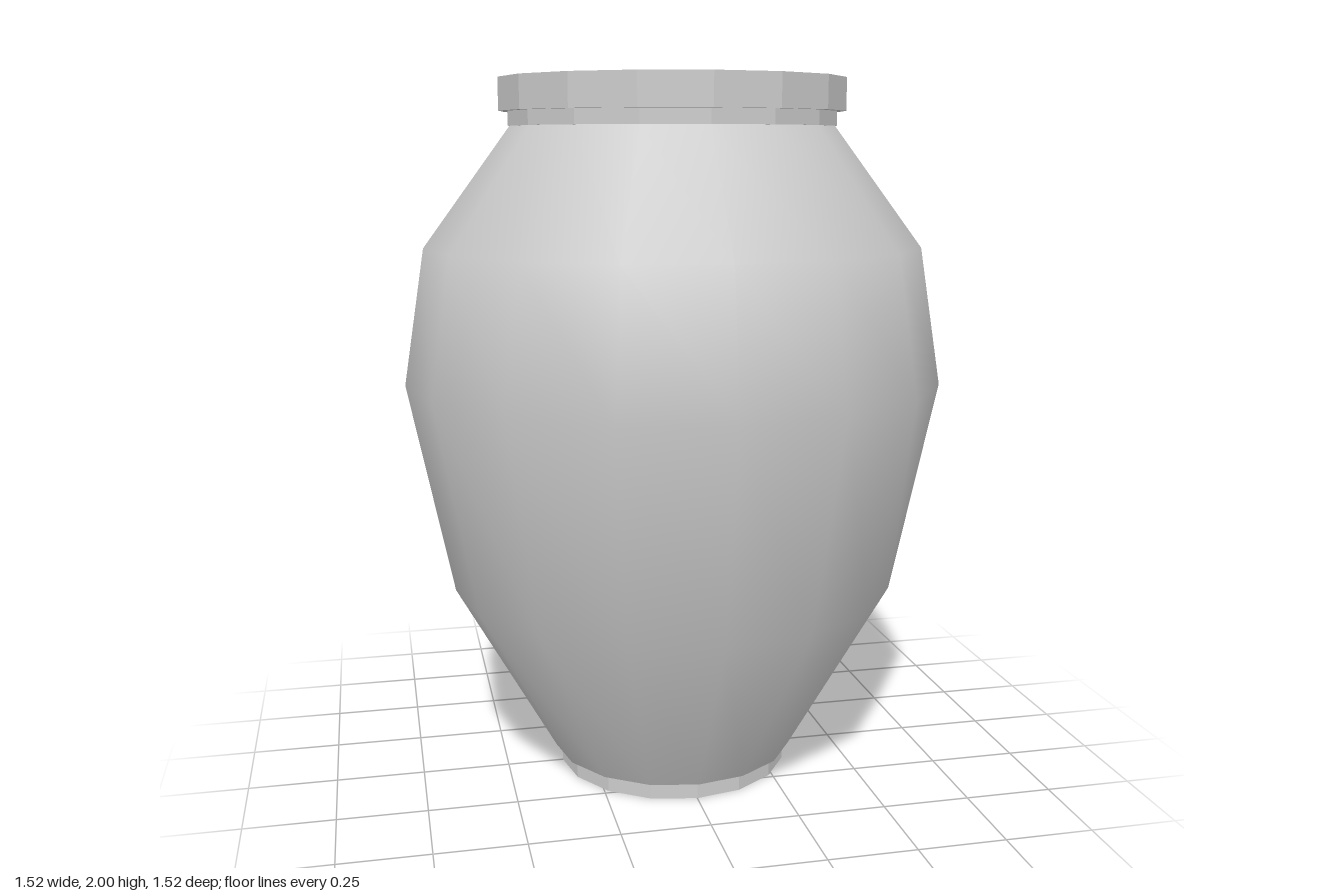
import * as THREE from 'three';

const SIDES = 16;

// Revolve a [radius, height] profile; faceted parts get one normal per face.
function turned(name, profile, material, faceted) {
  let geometry = new THREE.LatheGeometry(profile.map(([r, y]) => new THREE.Vector2(r, y)), SIDES);
  if (faceted) {
    geometry = geometry.toNonIndexed();
    geometry.computeVertexNormals();
  }
  const mesh = new THREE.Mesh(geometry, material);
  mesh.name = name;
  return mesh;
}

export function createModel() {
  const group = new THREE.Group();
  group.name = 'vase';
  const clay = new THREE.MeshStandardMaterial({ color: 0xcccccc, side: THREE.DoubleSide });
  clay.name = 'light grey clay';

  // Thin smooth shell, visible from inside as well
  group.add(turned('body', [
    [0.355, 0.05], [0.64, 0.555], [0.762, 1.16], [0.70, 1.54], [0.455, 1.87],
  ], clay, false));

  // Floor inside the shell
  group.add(turned('floor', [[0.355, 0.05], [0, 0.05]], clay, true));

  // Short foot with a closed underside
  group.add(turned('foot', [[0, 0], [0.337, 0], [0.337, 0.05]], clay, true));

  // Neck and overhanging rim as one ring
  group.add(turned('rim', [
    [0.43, 1.87], [0.46, 1.87], [0.46, 1.91], [0.485, 1.91],
    [0.485, 2], [0.43, 2], [0.43, 1.87],
  ], clay, true));

  return group;
}
